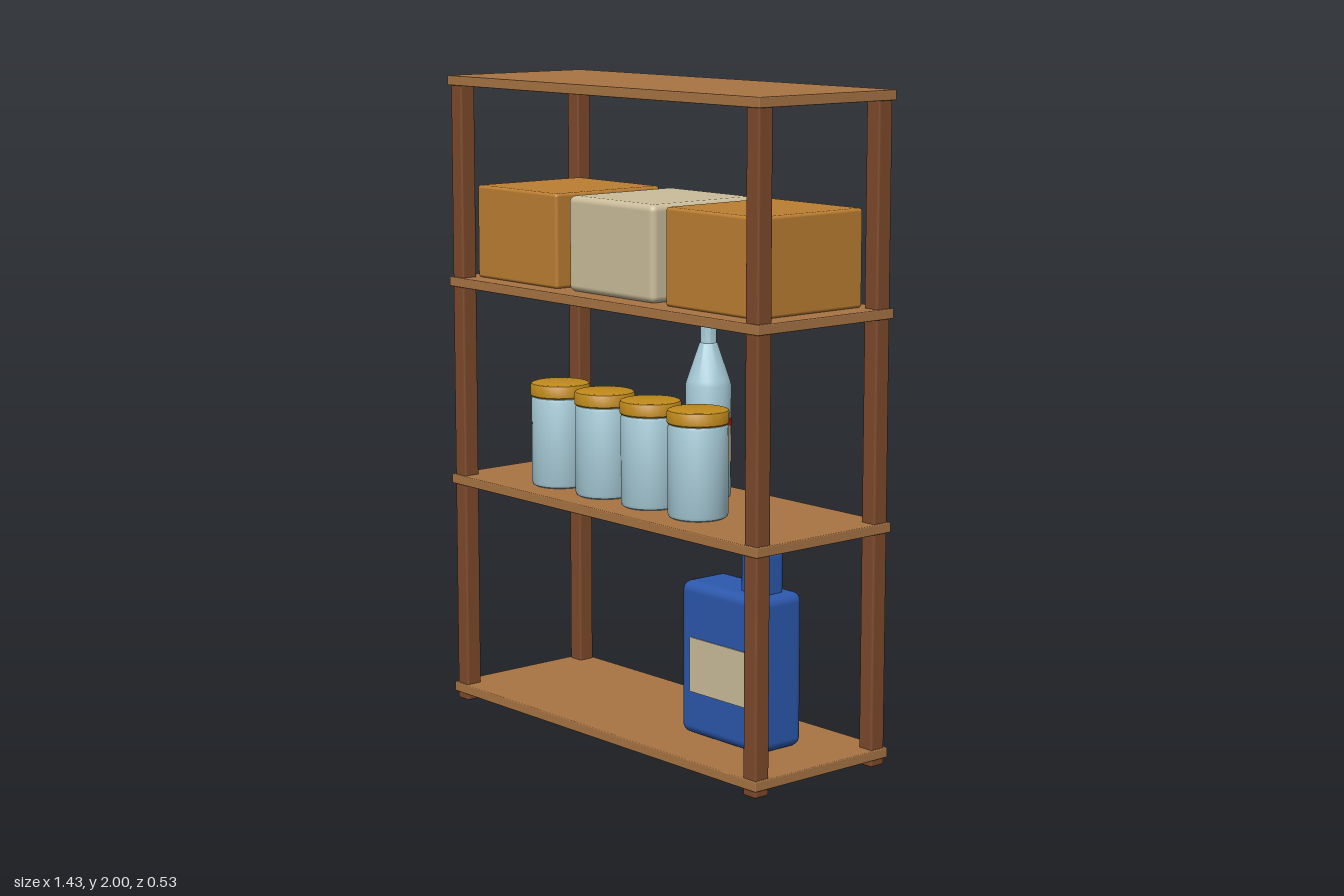
import * as THREE from 'three';
import { RoundedBoxGeometry } from 'three/addons/geometries/RoundedBoxGeometry.js';
import { toCreasedNormals } from 'three/addons/utils/BufferGeometryUtils.js';

const paint = (name, color) => {
  const m = new THREE.MeshStandardMaterial({ color });
  m.name = name;
  return m;
};

export function createModel() {
  const shelfWood = paint('shelf wood', 0xa87444);
  const postWood = paint('post wood', 0x7d4a2b);
  const cardboard = paint('cardboard', 0xbc7e32);
  const cream = paint('cream', 0xcbbd9b);
  const glass = paint('pale blue glass', 0xa8ccd8);
  const brass = paint('brass lid', 0xc08a1c);
  const red = paint('red', 0xc01c1c);
  const blue = paint('blue plastic', 0x2c58ac);

  const model = new THREE.Group();
  model.name = 'stockedShelf';

  const add = (parent, name, geometry, material, x, y, z) => {
    const mesh = new THREE.Mesh(geometry, material);
    mesh.name = name;
    mesh.position.set(x, y, z);
    parent.add(mesh);
    return mesh;
  };
  // Rounded box standing on height y
  const block = (parent, name, [w, h, d], r, material, x, y, z) =>
    add(parent, name, new RoundedBoxGeometry(w, h, d, 3, r), material, x, y + h / 2, z);
  // Turned part from [radius, height] pairs
  const turned = (parent, name, profile, material, y = 0) => {
    const pts = profile.map(([r, h]) => new THREE.Vector2(r, h));
    const geo = toCreasedNormals(new THREE.LatheGeometry(pts, 32), 0.6);
    return add(parent, name, geo, material, 0, y, 0);
  };
  const group = (name, x, y, z) => {
    const g = new THREE.Group();
    g.name = name;
    g.position.set(x, y, z);
    model.add(g);
    return g;
  };

  // Frame: four boards on four corner posts
  for (const top of [0.053, 0.737, 1.37, 2]) {
    block(model, 'shelfBoard', [1.434, 0.03, 0.534], 0.003, shelfWood, 0, top - 0.03, 0);
  }
  for (const sx of [-1, 1]) {
    for (const sz of [-1, 1]) {
      block(model, 'post', [0.054, 1.99, 0.054], 0.007, postWood, sx * 0.682, 0, sz * 0.233);
    }
  }

  // Boxes on the upper shelf
  for (const x of [-0.45, 0, 0.45]) {
    block(model, 'storageBox', [0.396, 0.29, 0.414], x ? 0.01 : 0.02, x ? cardboard : cream, x, 1.37, 0);
  }

  // Row of lidded jars
  for (let i = 0; i < 4; i++) {
    const jar = group('jar', -0.361 + i * 0.216, 0.737, 0.108);
    turned(jar, 'jarBody', [[0, 0], [0.08, 0], [0.087, 0.004], [0.09, 0.012], [0.09, 0.272],
      [0.087, 0.28], [0.08, 0.284], [0, 0.284]], glass);
    turned(jar, 'jarLid', [[0, 0], [0.09, 0], [0.093, 0.004], [0.093, 0.034],
      [0.09, 0.04], [0.084, 0.042], [0, 0.042]], brass, 0.282);
  }

  // Bottle with a wrapped label
  const bottle = group('bottle', 0.09, 0.737, -0.107);
  turned(bottle, 'bottleBody', [[0, 0], [0.062, 0], [0.068, 0.004], [0.07, 0.01], [0.07, 0.35],
    [0.066, 0.364], [0.064, 0.37], [0.028, 0.475], [0.024, 0.478], [0.024, 0.56], [0, 0.56]], glass);
  turned(bottle, 'bottleCap', [[0, 0], [0.029, 0], [0.029, 0.044], [0.027, 0.047], [0, 0.047]], red, 0.556);
  const ring = (name, r, h, material, y) => add(bottle, name,
    new THREE.CylinderGeometry(r, r, h, 32, 1, true), material, 0, y + h / 2, 0);
  ring('bottleLabel', 0.071, 0.115, cream, 0.113);
  ring('labelStripe', 0.072, 0.022, red, 0.228);

  // Plastic jug with an offset cap and a label on each broad face
  const jug = group('jug', 0.361, 0.053, 0);
  block(jug, 'jugBody', [0.357, 0.472, 0.178], 0.03, blue, 0, 0, 0);
  block(jug, 'jugCap', [0.108, 0.17, 0.088], 0.022, blue, 0.09, 0.432, 0);
  for (const s of [-1, 1]) {
    add(jug, 'jugLabel', new THREE.BoxGeometry(0.256, 0.168, 0.006), cream, 0, 0.22, s * 0.089);
  }

  return model;
}
